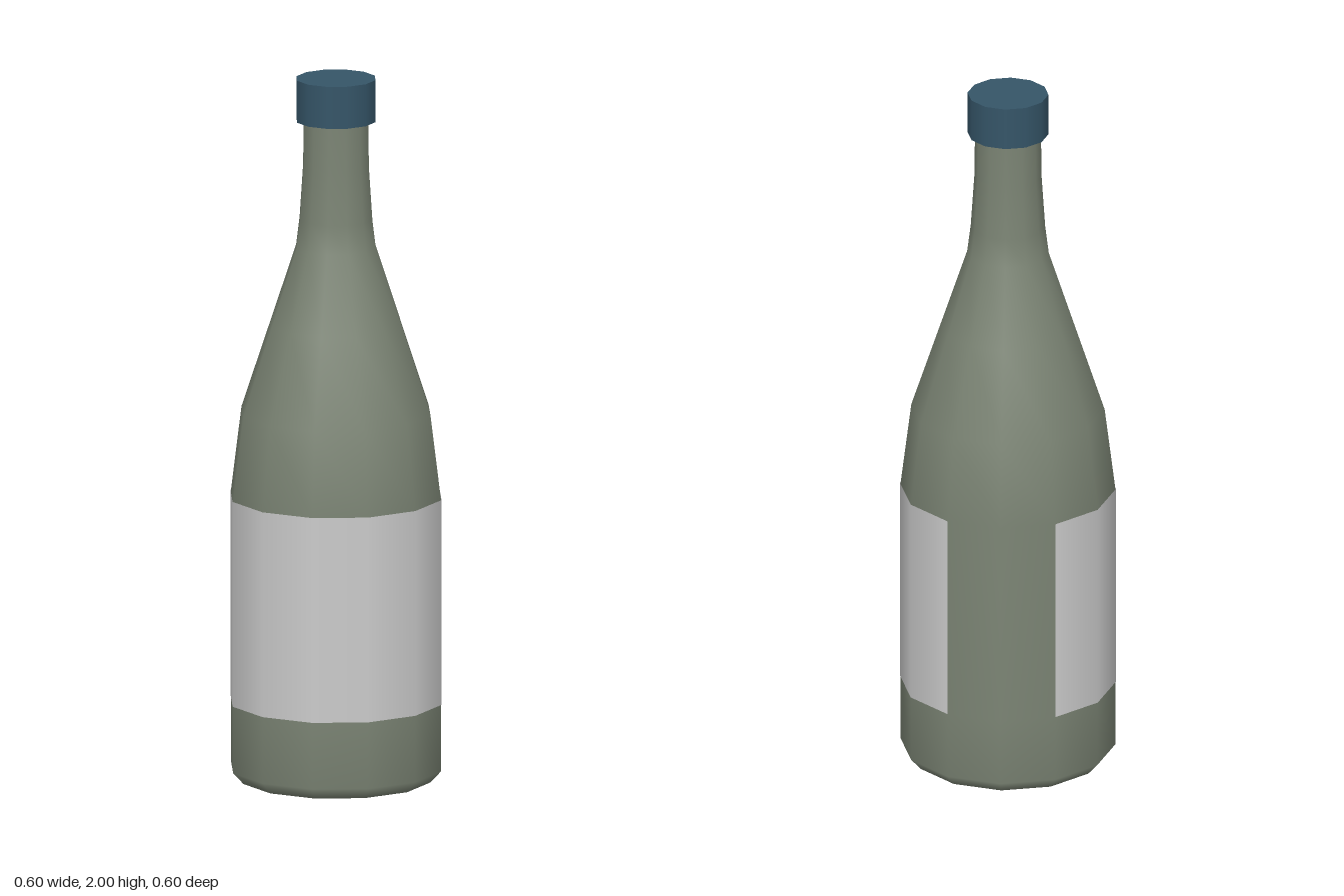
import * as THREE from 'three';

const SIDES = 12;
const TURN = THREE.MathUtils.degToRad(-4.8); // twist shared by all rings

function part(name, geometry, color, side = THREE.FrontSide) {
  const mesh = new THREE.Mesh(geometry, new THREE.MeshStandardMaterial({ color, side }));
  mesh.name = name;
  return mesh;
}

const profile = (pairs) => pairs.map(([r, y]) => new THREE.Vector2(r, y));

export function createModel() {
  const model = new THREE.Group();
  model.name = 'bottle';

  // Glass body: chamfered base, straight wall, long shoulder and slim neck
  const glass = profile([
    [0, 0], [0.27, 0.002], [0.3, 0.035], [0.3, 0.225], [0.3, 0.81],
    [0.27, 1.05], [0.187, 1.3], [0.114, 1.52], [0.104, 1.6], [0.094, 1.75], [0.092, 1.9],
  ]);
  model.add(part('body', new THREE.LatheGeometry(glass, SIDES, TURN), 0x7b8474));

  // Paper label: wraps ten of the twelve sides, leaving two bare
  const step = (Math.PI * 2) / SIDES;
  const paper = profile([[0.3015, 0.225], [0.3015, 0.81]]);
  model.add(part('label',
    new THREE.LatheGeometry(paper, 10, TURN + 5 * step, 10 * step), 0xcccccc, THREE.DoubleSide));

  // Screw cap
  const cap = part('cap', new THREE.CylinderGeometry(0.113, 0.113, 0.12, SIDES, 1, false, TURN), 0x355568);
  cap.position.y = 1.94;
  model.add(cap);

  return model;
}
